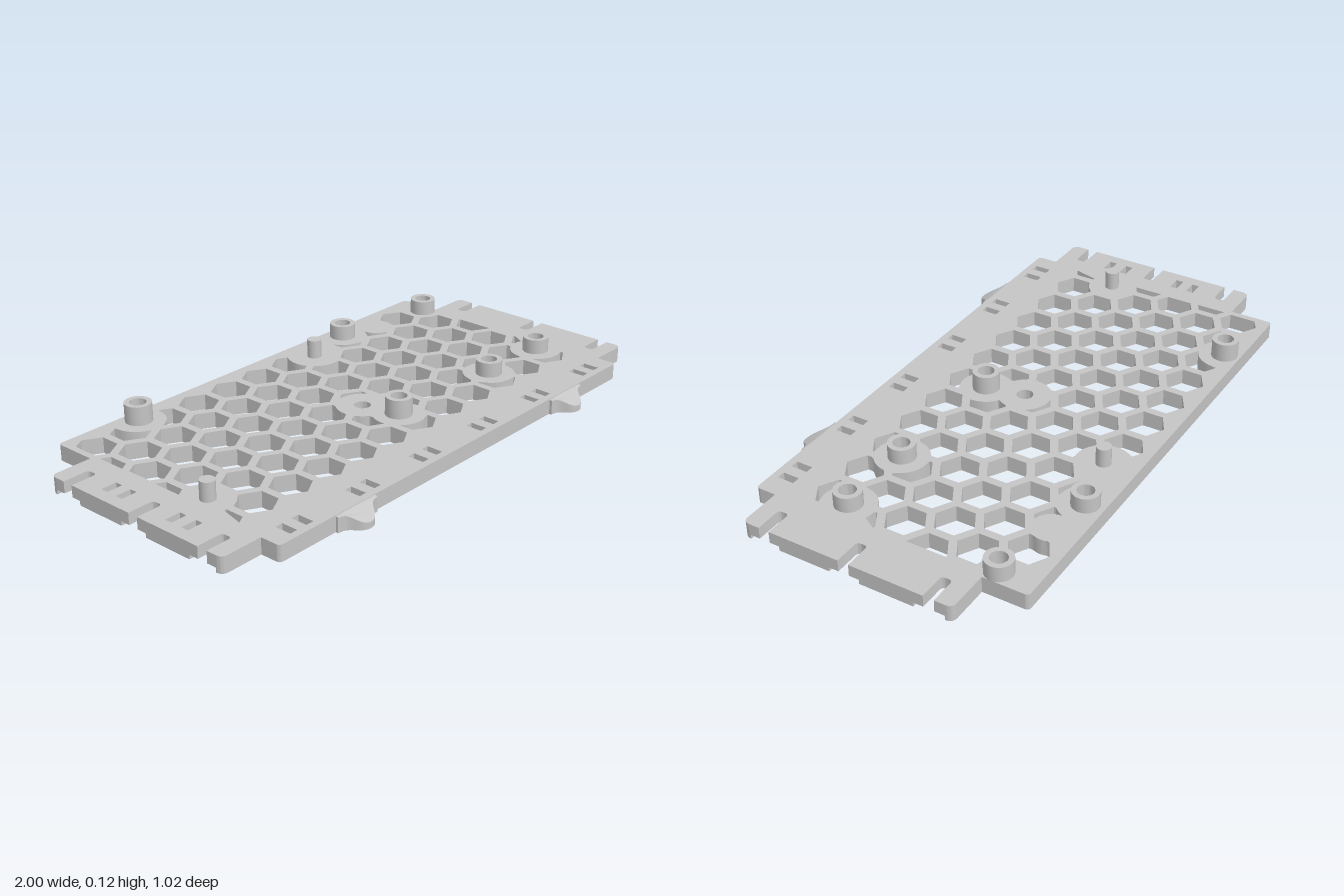
import * as THREE from 'three';
import { toCreasedNormals } from 'three/addons/utils/BufferGeometryUtils.js';

const THICK = 0.055, RECESS = 0.015;
const HEX_R = 0.069, PITCH = 0.1465, ROW = 0.1262;

// Hollow standoffs: x, z, top height
const BOSSES = [
  [-0.568, -0.455, 0.12], [0.025, 0.145, 0.12], [0.411, -0.447, 0.107],
  [0.805, -0.387, 0.107], [0.491, 0.163, 0.107], [0.771, 0.163, 0.107],
];
const PINS = [[0.202, -0.395], [-0.792, 0.105]];
const HUB = [-0.002, 0.011];

// Discs kept solid in the honeycomb: x, z, radius
const PADS = [
  ...BOSSES.map(([x, z]) => [x, z, x > 0.8 ? 0.068 : 0.09]),
  [0.202, -0.395, 0.095], [-0.792, 0.105, 0.086], [...HUB, 0.09], [0.56, -0.415, 0.064],
];

// Closed path in plan (x, z) with softened corners; points are [x, z, radius]
function softPath(path, pts) {
  const v = pts.map(([x, z]) => new THREE.Vector2(x, -z));
  v.forEach((p, i) => {
    const r = pts[i][2] || 0;
    const toward = (q) => q.clone().sub(p).setLength(r).add(p);
    const a = toward(v[(i + v.length - 1) % v.length]);
    const b = toward(v[(i + 1) % v.length]);
    if (i === 0) path.moveTo(a.x, a.y); else path.lineTo(a.x, a.y);
    if (r > 0) path.quadraticCurveTo(p.x, p.y, b.x, b.y);
  });
  path.closePath();
  return path;
}

const rectHole = (x, z, w, d) => softPath(new THREE.Path(), [
  [x - w / 2, z - d / 2], [x + w / 2, z - d / 2], [x + w / 2, z + d / 2], [x - w / 2, z + d / 2],
]);
const roundHole = (x, z, r) => new THREE.Path().absarc(x, -z, r, 0, Math.PI * 2, true);

// Extrude a plan shape upward from y0 to y1
function slab(shape, y0, y1) {
  const g = new THREE.ExtrudeGeometry(shape, { depth: y1 - y0, bevelEnabled: false, curveSegments: 12 });
  g.rotateX(-Math.PI / 2).translate(0, y0, 0);
  return toCreasedNormals(g, 0.6);
}

// Outline with eared sides and three open slots per ear, run counter-clockwise
// so that the walls of the outline and of the holes face outward
function outline(slotHalf, slotEnd, slotRound) {
  const right = [[0.85, -0.511, 0.015], [0.85, -0.357], [1, -0.357, 0.025]];
  for (const z of [-0.278, 0.014, 0.301]) {
    right.push([1, z - slotHalf], [slotEnd, z - slotHalf, slotRound],
      [slotEnd, z + slotHalf, slotRound], [1, z + slotHalf]);
  }
  right.push([1, 0.379, 0.025], [0.85, 0.379], [0.85, 0.451, 0.015]);
  const left = right.map(([x, z, r]) => [-x, z, r]);
  return softPath(new THREE.Shape(), [...left, ...right.reverse()]);
}

function area(p) {
  return Math.abs(p.reduce((s, [x, z], i) => {
    const [u, w] = p[(i + 1) % p.length];
    return s + x * w - u * z;
  }, 0)) / 2;
}

// Cut a disc out of a densely sampled polygon, returning the remaining pieces
function cutDisc(poly, [cx, cz, r]) {
  const out = poly.map(([x, z]) => Math.hypot(x - cx, z - cz) > r);
  if (out.every(Boolean)) return [poly];
  const pieces = [], n = poly.length;
  for (let i = 0; i < n; i++) {
    if (!out[i] || out[(i + n - 1) % n]) continue;
    const run = [];
    for (let j = i; out[j % n]; j++) run.push(poly[j % n]);
    const angle = ([x, z]) => Math.atan2(z - cz, x - cx);
    const a = angle(run[run.length - 1]);
    let d = angle(run[0]) - a;
    d = Math.atan2(Math.sin(d), Math.cos(d));
    for (let k = 1; k < 8; k++) {
      const t = a + d * k / 8;
      run.push([cx + Math.cos(t) * r, cz + Math.sin(t) * r]);
    }
    pieces.push(run);
  }
  return pieces;
}

// Honeycomb openings, trimmed at the sides and around the solid pads
function honeycomb() {
  const holes = [];
  for (let row = 0; row < 6; row++) {
    for (let col = -6; col <= 6; col++) {
      const cx = -0.055 + (col + (row % 2) / 2) * PITCH, cz = -0.408 + row * ROW;
      const corners = [...Array(6)].map((_, i) => {
        const a = (i + 0.5) * Math.PI / 3;
        return [cx + HEX_R * Math.cos(a), cz + HEX_R * Math.sin(a)];
      });
      const dense = corners.flatMap(([x, z], i) => {
        const [u, w] = corners[(i + 1) % 6];
        return [...Array(12)].map((_, k) => [x + (u - x) * k / 12, z + (w - z) * k / 12]);
      });
      const trimmed = dense.filter(([x]) => Math.abs(x) < 0.832);
      if (trimmed.length < 4) continue;
      let pieces = [trimmed];
      for (const pad of PADS) pieces = pieces.flatMap((p) => cutDisc(p, pad));
      const whole = pieces.length === 1 && pieces[0] === trimmed && trimmed.length === dense.length;
      for (const p of whole ? [corners] : pieces) {
        if (p.length > 3 && area(p) > 0.0008) holes.push(softPath(new THREE.Path(), p));
      }
    }
  }
  return holes;
}

export function createModel() {
  const model = new THREE.Group();
  model.name = 'mountingPlate';
  const grey = new THREE.MeshStandardMaterial({ color: 0xc4c4c4 });
  grey.name = 'plainGrey';
  const add = (name, geometry) => {
    const mesh = new THREE.Mesh(geometry, grey);
    mesh.name = name;
    model.add(mesh);
    return mesh;
  };

  // All through openings shared by both layers of the plate
  const holes = honeycomb();
  for (let i = 0; i < 6; i++) {
    for (const dx of [-0.033, 0.033]) holes.push(rectHole(-0.735 + i * 0.293 + dx, 0.397, 0.028, 0.058));
  }
  for (const z of [-0.161, -0.096, 0.118, 0.185]) holes.push(rectHole(-0.929, z, 0.056, 0.027));
  for (const [x, z] of [...BOSSES, HUB]) holes.push(roundHole(x, z, 0.028));

  // Lower layer has wide screw-head recesses, upper layer the narrow slots
  const lower = outline(0.053, 0.872, 0.045);
  const upper = outline(0.0185, 0.905, 0.014);
  lower.holes = holes;
  upper.holes = holes;
  add('plateUnderside', slab(lower, 0, RECESS));
  add('plateTop', slab(upper, RECESS, THICK));

  // Hollow standoffs
  for (const [x, z, top] of BOSSES) {
    const ring = new THREE.Shape().absarc(x, -z, 0.046, 0, Math.PI * 2, false);
    ring.holes.push(roundHole(x, z, 0.028));
    add('standoff', slab(ring, THICK - 0.002, top));
  }

  // Solid locating pins
  for (const [x, z] of PINS) {
    const h = 0.12 - THICK + 0.01;
    add('locatingPin', new THREE.CylinderGeometry(0.025, 0.025, h, 24)).position.set(x, 0.12 - h / 2, z);
  }

  // Rounded front catches with a sloping top
  for (const x of [-0.535, 0.532]) {
    const s = new THREE.Shape();
    s.moveTo(-0.086, -0.445);
    s.lineTo(-0.086, -0.46);
    s.lineTo(-0.07, -0.462);
    s.bezierCurveTo(-0.04, -0.467, -0.04, -0.511, 0, -0.511);
    s.bezierCurveTo(0.04, -0.511, 0.04, -0.467, 0.07, -0.462);
    s.lineTo(0.086, -0.46);
    s.lineTo(0.086, -0.445);
    const g = slab(s, 0, THICK);
    const p = g.attributes.position;
    for (let i = 0; i < p.count; i++) {
      if (p.getY(i) > 0.01) p.setY(i, THICK - Math.max(0, p.getZ(i) - 0.451) * 0.56);
    }
    add('frontCatch', toCreasedNormals(g, 0.6)).position.x = x;
  }
  return model;
}
